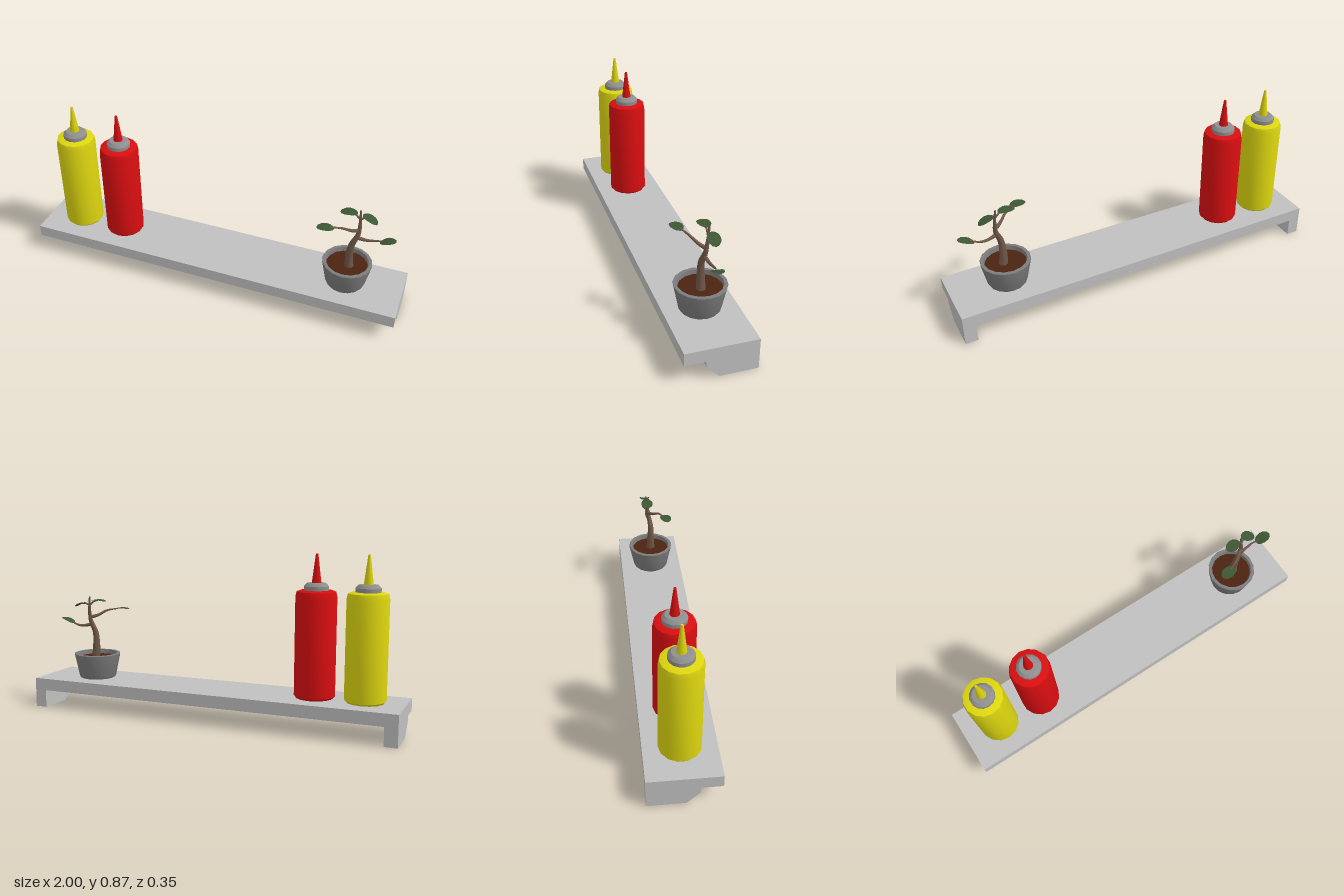
import * as THREE from 'three';
import { toCreasedNormals } from 'three/addons/utils/BufferGeometryUtils.js';

const mat = (name, color, side = THREE.FrontSide) =>
  Object.assign(new THREE.MeshStandardMaterial({ color, side }), { name });

const v = (x, y, z) => new THREE.Vector3(x, y, z);

function add(parent, name, geometry, material) {
  const mesh = new THREE.Mesh(geometry, material);
  mesh.name = name;
  parent.add(mesh);
  return mesh;
}

// Turned part from [radius, height] pairs
function turned(profile, sides) {
  const points = profile.map(([r, y]) => new THREE.Vector2(r, y));
  return toCreasedNormals(new THREE.LatheGeometry(points, sides), 0.6);
}

// Tube along a curve, thinning from r0 to r1
function taperedTube(points, r0, r1, segments = 12, sides = 8) {
  const curve = new THREE.CatmullRomCurve3(points);
  const geometry = new THREE.TubeGeometry(curve, segments, 1, sides);
  const pos = geometry.attributes.position;
  const p = new THREE.Vector3();
  for (let i = 0; i < pos.count; i++) {
    const t = Math.floor(i / (sides + 1)) / segments;
    const centre = curve.getPointAt(t);
    p.fromBufferAttribute(pos, i).sub(centre).multiplyScalar(r0 + (r1 - r0) * t).add(centre);
    pos.setXYZ(i, p.x, p.y, p.z);
  }
  return geometry;
}

// Oval leaf lying flat, drooping along its length
function leafGeometry() {
  const geometry = new THREE.CircleGeometry(1, 12);
  geometry.rotateX(-Math.PI / 2);
  geometry.scale(0.043, 1, 0.031);
  const pos = geometry.attributes.position;
  for (let i = 0; i < pos.count; i++) pos.setY(i, -3.5 * pos.getX(i) ** 2);
  geometry.computeVertexNormals();
  return geometry;
}

export function createModel() {
  const model = new THREE.Group();
  model.name = 'shelfWithBottlesAndPlant';

  const shelfGrey = mat('shelfGrey', 0xc0c0c0);
  const red = mat('bottleRed', 0xd80e10);
  const yellow = mat('bottleYellow', 0xdcd50f);
  const capGrey = mat('capGrey', 0x8f8f8f);
  const potGrey = mat('potGrey', 0x7d7d7d);
  const soilBrown = mat('soilBrown', 0x4c2411);
  const barkBrown = mat('barkBrown', 0x705848);
  const leafGreen = mat('leafGreen', 0x3d5733, THREE.DoubleSide);

  // Shelf board
  const board = add(model, 'shelfBoard', new THREE.BoxGeometry(2, 0.064, 0.352), shelfGrey);
  board.position.y = 0.127;

  // End brackets, drawn in the z-y plane
  const outline = new THREE.Shape(
    [[-0.176, 0], [0.01, 0], [0.072, 0.063], [0.072, 0.095], [-0.176, 0.095]]
      .map(([z, y]) => new THREE.Vector2(-z, y)));
  const bracketGeometry = new THREE.ExtrudeGeometry(outline, { depth: 0.065, bevelEnabled: false });
  bracketGeometry.rotateY(Math.PI / 2);
  add(model, 'rightBracket', bracketGeometry, shelfGrey).position.x = -1;
  add(model, 'leftBracket', bracketGeometry, shelfGrey).position.x = 0.935;

  // Squeeze bottles
  const bodyGeometry = turned([
    [0, 0.16], [0.094, 0.16], [0.102, 0.17], [0.102, 0.662], [0.096, 0.688], [0.08, 0.694], [0, 0.696],
  ], 14);
  const capGeometry = turned([
    [0.061, 0.69], [0.061, 0.714], [0.046, 0.73], [0, 0.731],
  ], 14);
  const nozzleGeometry = turned([[0.024, 0.729], [0.006, 0.872], [0, 0.873]], 12);
  for (const [name, x, colour] of [['yellowBottle', -0.805, yellow], ['redBottle', -0.55, red]]) {
    const bottle = new THREE.Group();
    bottle.name = name;
    bottle.position.x = x;
    add(bottle, 'bottleBody', bodyGeometry, colour);
    add(bottle, 'bottleCap', capGeometry, capGrey);
    add(bottle, 'bottleNozzle', nozzleGeometry, colour);
    model.add(bottle);
  }

  // Pot with its soil
  const plant = new THREE.Group();
  plant.name = 'pottedTree';
  model.add(plant);
  const pot = add(plant, 'pot', turned([
    [0, 0.16], [0.095, 0.16], [0.102, 0.172], [0.127, 0.292], [0.125, 0.295], [0.109, 0.295], [0.104, 0.262],
  ], 16), potGrey);
  pot.position.x = 0.705;
  const soil = add(plant, 'soil', new THREE.CylinderGeometry(0.106, 0.1, 0.03, 16), soilBrown);
  soil.position.set(0.705, 0.257, 0);

  // Trunk and branches
  add(plant, 'trunk', taperedTube([
    v(0.717, 0.25, 0.002), v(0.711, 0.34, 0.002), v(0.717, 0.41, 0.004),
    v(0.74, 0.475, -0.006), v(0.741, 0.54, -0.015), v(0.734, 0.61, -0.023),
  ], 0.025, 0.004, 20), barkBrown);
  const branches = [
    [v(0.737, 0.495, -0.008), v(0.705, 0.505, 0.015), v(0.665, 0.53, 0.045), v(0.61, 0.54, 0.07)],
    [v(0.735, 0.455, -0.003), v(0.785, 0.445, -0.012), v(0.825, 0.45, -0.016), v(0.87, 0.468, -0.008)],
    [v(0.739, 0.56, -0.016), v(0.715, 0.582, -0.016), v(0.685, 0.591, -0.015)],
    [v(0.739, 0.56, -0.016), v(0.76, 0.572, -0.022), v(0.785, 0.569, -0.025)],
  ];
  branches.forEach((points, i) =>
    add(plant, 'branch' + (i + 1), taperedTube(points, i < 2 ? 0.01 : 0.006, 0.003), barkBrown));

  // Leaves: position, turn about y, slope
  const leaf = leafGeometry();
  const leaves = [
    [0.59, 0.544, 0.08, 0.2, 0],
    [0.886, 0.474, -0.006, -0.1, 0.36],
    [0.68, 0.594, -0.016, 0.1, 0.05],
    [0.787, 0.572, -0.025, -0.1, -0.36],
  ];
  leaves.forEach(([x, y, z, turn, slope], i) => {
    const mesh = add(plant, 'leaf' + (i + 1), leaf, leafGreen);
    mesh.position.set(x, y, z);
    mesh.rotation.set(0, turn, slope, 'YXZ');
  });

  return model;
}
